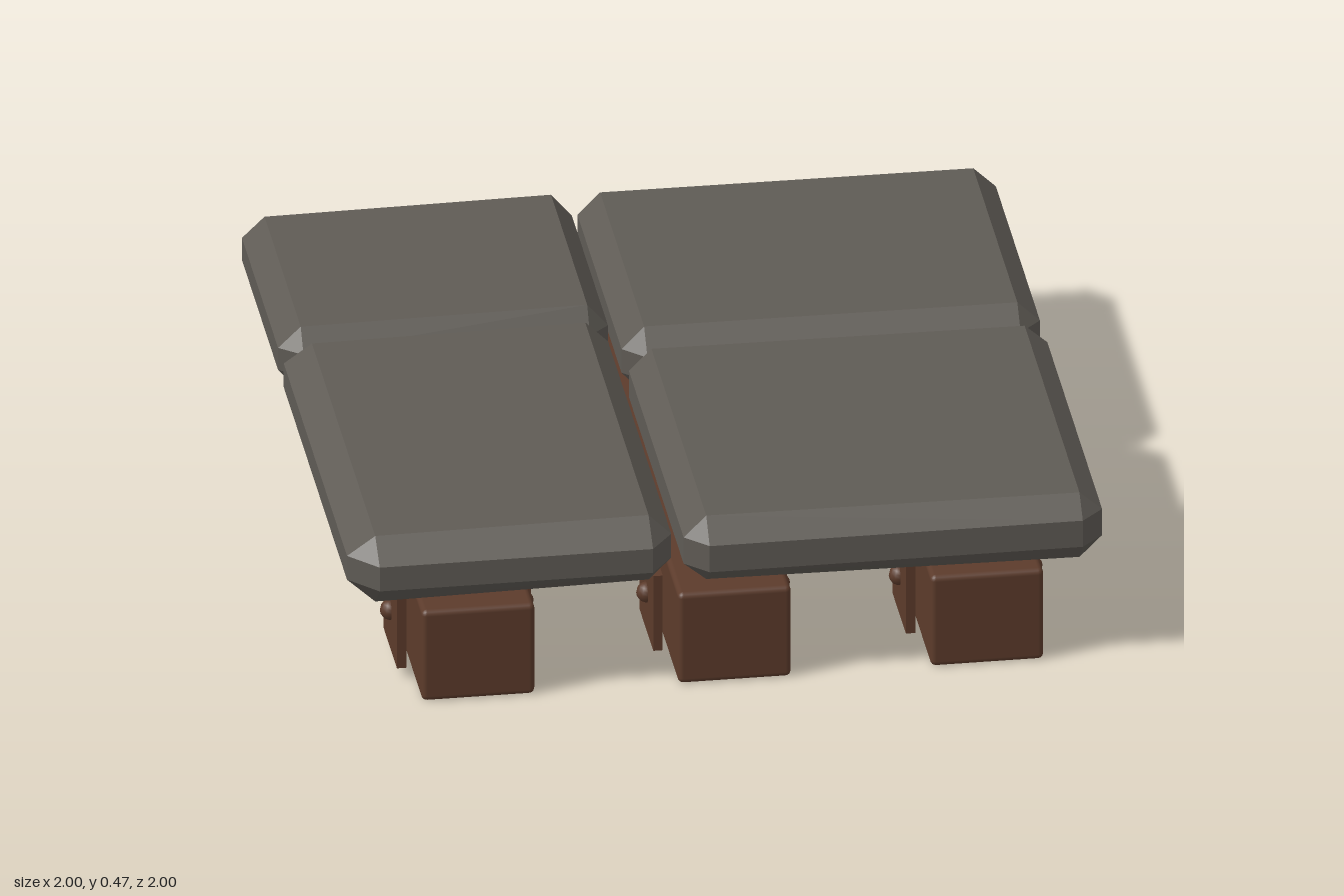
import * as THREE from 'three';
import { ConvexGeometry } from 'three/addons/geometries/ConvexGeometry.js';
import { RoundedBoxGeometry } from 'three/addons/geometries/RoundedBoxGeometry.js';

const stone = new THREE.MeshStandardMaterial({ name: 'darkStone', color: 0x5f5b55 });
const wood = new THREE.MeshStandardMaterial({ name: 'brownWood', color: 0x5c3b2b });

// Chamfered block: each corner is cut into three points.
// Bevels are [left, right, back, front]; tops is the top height at [left, right].
function slabGeometry({ x, z, bevels, tops, bottoms, band }) {
  const points = [];
  for (const i of [0, 1]) {
    for (const k of [0, 1]) {
      const xIn = x[i] + (i ? -1 : 1) * bevels[i];
      const zIn = z[k] + (k ? -1 : 1) * bevels[2 + k];
      for (const j of [0, 1]) {
        const yOut = j ? tops[i] : bottoms[i];
        points.push(
          new THREE.Vector3(xIn, yOut, zIn),
          new THREE.Vector3(x[i], band[j], zIn),
          new THREE.Vector3(xIn, band[j], z[k]),
        );
      }
    }
  }
  return new ConvexGeometry(points);
}

const SLABS = [
  { name: 'frontLeftSlab', x: [-0.11, 1], z: [-0.09, 1], bevels: [0.06, 0.06, 0.06, 0.06],
    tops: [0.472, 0.465], bottoms: [0.285, 0.275], band: [0.335, 0.412] },
  { name: 'backLeftSlab', x: [-0.11, 1], z: [-1, -0.1], bevels: [0.06, 0.06, 0.06, 0.06],
    tops: [0.472, 0.468], bottoms: [0.275, 0.28], band: [0.34, 0.41] },
  { name: 'frontRightSlab', x: [-1, -0.14], z: [-0.24, 1], bevels: [0.075, 0.06, 0.04, 0.08],
    tops: [0.468, 0.475], bottoms: [0.275, 0.285], band: [0.345, 0.415] },
  { name: 'backRightSlab', x: [-1, -0.125], z: [-1, -0.25], bevels: [0.06, 0.055, 0.06, 0.05],
    tops: [0.468, 0.475], bottoms: [0.275, 0.285], band: [0.345, 0.41] },
];

export function createModel() {
  const model = new THREE.Group();
  model.name = 'stoneToppedPlatform';

  const add = (parent, name, geometry, material, x = 0, y = 0, z = 0) => {
    const mesh = new THREE.Mesh(geometry, material);
    mesh.name = name;
    mesh.position.set(x, y, z);
    parent.add(mesh);
    return mesh;
  };

  // Four uneven stone slabs
  for (const slab of SLABS) add(model, slab.name, slabGeometry(slab), stone);

  // Three beams with bolted plates near both ends
  const beamGeometry = new RoundedBoxGeometry(0.3, 0.265, 1.96, 2, 0.015);
  const plateGeometry = new THREE.BoxGeometry(0.025, 0.22, 0.24);
  const boltGeometry = new THREE.SphereGeometry(0.028, 12, 8);
  for (const x of [-0.66, 0.02, 0.69]) {
    const support = new THREE.Group();
    support.name = 'support';
    support.position.x = x;
    add(support, 'beam', beamGeometry, wood, 0, 0.1325, 0);
    for (const z of [-0.72, 0.72]) {
      for (const [plateX, boltX] of [[-0.183, -0.195], [0.147, 0.157]]) {
        add(support, 'plate', plateGeometry, wood, plateX, 0.142, z);
        add(support, 'bolt', boltGeometry, wood, boltX, 0.145, z);
      }
    }
    model.add(support);
  }
  return model;
}
